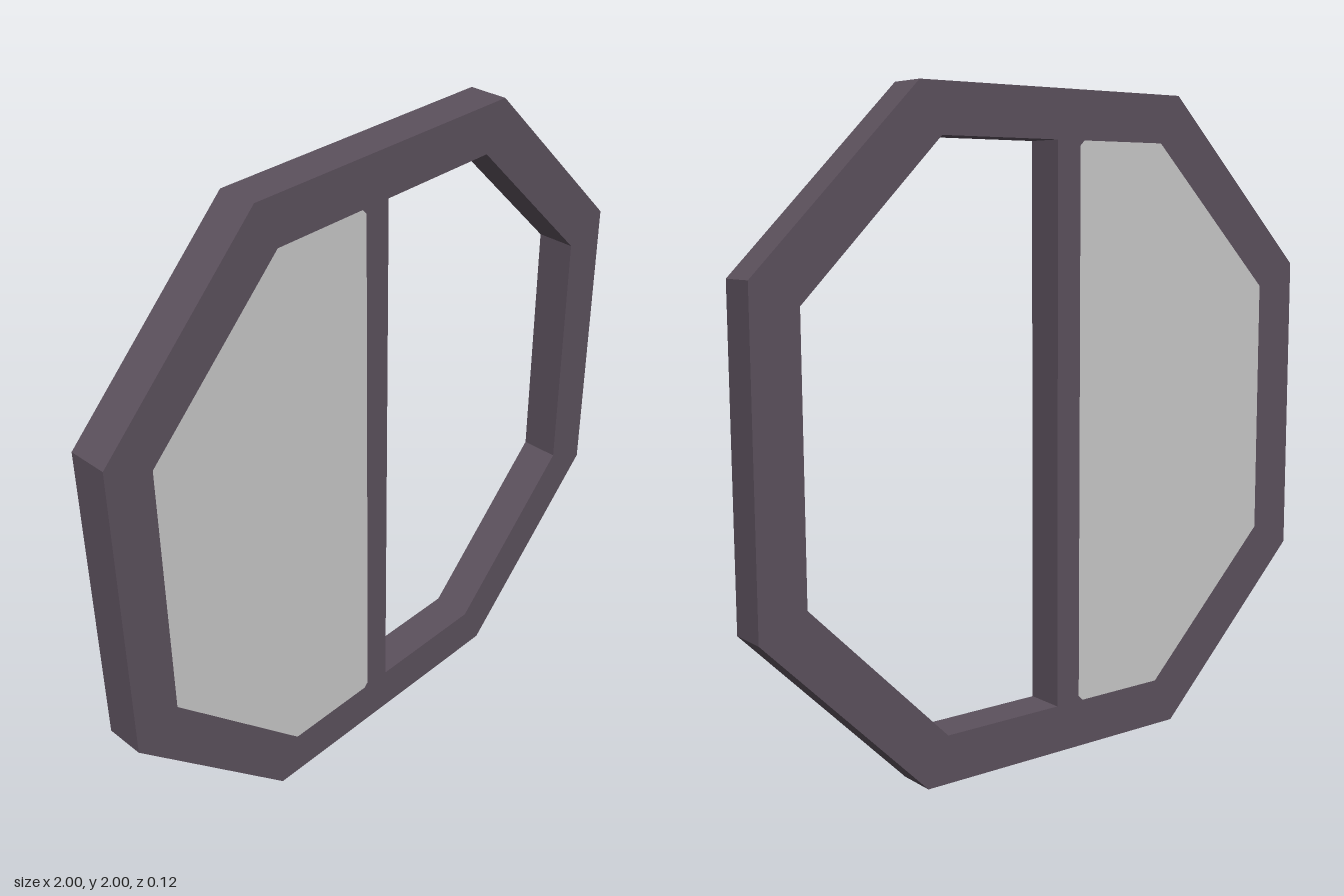
import * as THREE from 'three';

const DEPTH = 0.123;

// Closed shape from a short list of corners, with y measured from the centre
const outline = (points, Type = THREE.Shape) =>
  new Type(points.map(([x, y]) => new THREE.Vector2(x, y + 1)));

// Octagon with flats at ±r and corners at ±c along each flat
const octagon = (r, c) => [
  [r, -c], [r, c], [c, r], [-c, r], [-r, c], [-r, -c], [-c, -r], [c, -r],
];

export function createModel() {
  const group = new THREE.Group();
  const frameMaterial = new THREE.MeshStandardMaterial({ color: 0x5c515d });
  const paneMaterial = new THREE.MeshStandardMaterial({ color: 0xc8c8c8 });
  frameMaterial.name = 'dark plum frame';
  paneMaterial.name = 'pale grey pane';

  const addSlab = (name, shape, material) => {
    const geometry = new THREE.ExtrudeGeometry(shape, { depth: DEPTH, bevelEnabled: false });
    geometry.translate(0, 0, -DEPTH / 2);
    const mesh = new THREE.Mesh(geometry, material);
    mesh.name = name;
    group.add(mesh);
  };

  const r = 0.854, c = 0.405; // inner octagon
  const bar = -0.085, cut = 0.015; // divider's left edge and its corner fillets

  // Octagonal frame
  const ring = outline(octagon(1, 0.476));
  ring.holes.push(outline(octagon(r, c).reverse(), THREE.Path));
  addSlab('octagonFrame', ring, frameMaterial);

  // Upright divider, slightly flared where it meets the frame
  addSlab('divider', outline([
    [0, -r], [0, r], [bar - cut, r], [bar, r - cut], [bar, cut - r], [bar - cut, -r],
  ]), frameMaterial);

  // Pane filling one half, flush with both faces
  addSlab('pane', outline([
    [bar, cut - r], [bar, r - cut], [bar - cut, r], [-c, r],
    [-r, c], [-r, -c], [-c, -r], [bar - cut, -r],
  ]), paneMaterial);

  return group;
}
